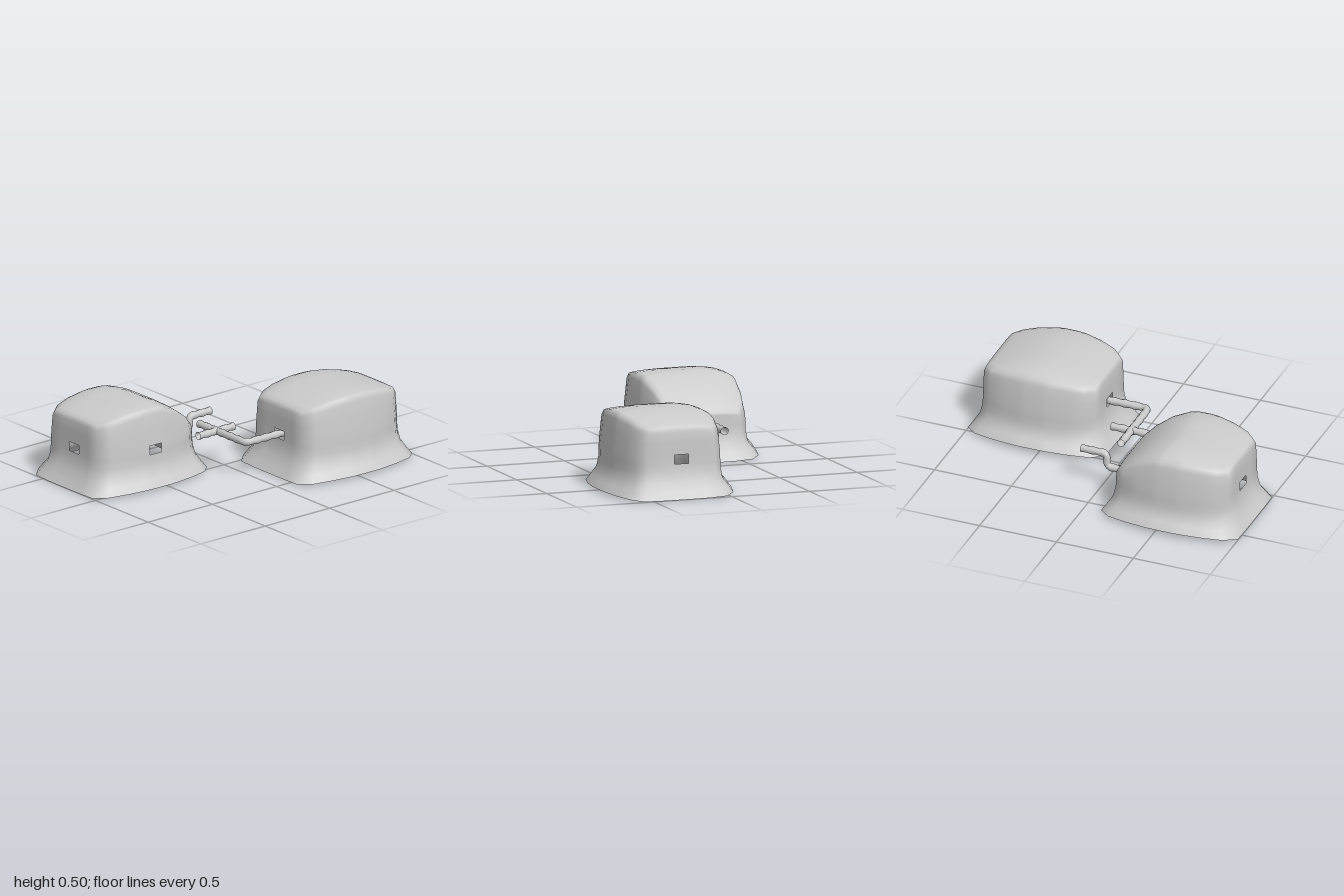
import * as THREE from 'three';

const material = new THREE.MeshStandardMaterial({ color: 0xcccccc, side: THREE.DoubleSide });

// One quarter of the barrel-shaped plan outline, from the +x side to the +z end (unit half-sizes)
const QUARTER = [[1, 0.125], [0.99, 0.26], [0.93, 0.56], [0.84, 0.84], [0.68, 1], [0.4, 1], [0.14, 1]];
const mirrorX = QUARTER.map(([x, z]) => [-x, z]).reverse();
const half = [...QUARTER, ...mirrorX];
const OUTLINE = [...half, ...half.map(([x, z]) => [-x, -z])];
const N = OUTLINE.length;

// Columns of the outline that lie in the middle of each side
const SIDE = { front: 6, left: N - 1, back: 20 };

// Wall rings: half width, half depth, height
const WALL = [
  [0.395, 0.445, 0.0], [0.365, 0.415, 0.045], [0.335, 0.385, 0.1],
  [0.326, 0.37, 0.16], [0.325, 0.367, 0.207], [0.323, 0.366, 0.263],
];
const WINDOW_ROW = 4;

// Hollow shell with a flared brim, open floor and cut-out windows
function shelter(name, x0, z0, windows, backDrop) {
  const roofY = (u, v) => 0.5
    - (v < 0 ? backDrop * Math.abs(v) ** 1.9 : 0.075 * v * v)
    - (u < 0 ? 0.055 : 0.018) * u ** 4;
  const positions = [], index = [];
  const addRing = (hx, hz, height) => {
    for (const [u, v] of OUTLINE) positions.push(u * hx, height(u, v), v * hz);
  };
  WALL.forEach(([hx, hz, y], i) => {
    const lift = u => (i < 2 ? (u < 0 ? 0.03 : 0.015) * u ** 4 : 0);
    addRing(hx, hz, u => y + lift(u));
  });
  // Upper wall rises to the curved roof edge
  for (const [f, hx, hz] of [[0.45, 0.313, 0.366], [0.85, 0.304, 0.365]]) {
    addRing(hx, hz, (u, v) => THREE.MathUtils.lerp(0.263, roofY(u, v), f));
  }
  // Roof rings shrink towards the crown
  for (const t of [0.97, 0.88, 0.72, 0.5, 0.25]) {
    addRing(0.3 * t, 0.365 * t, (u, v) => roofY(u * t, v * t));
  }
  const rings = positions.length / 3 / N;
  const crown = positions.length / 3;
  positions.push(0, roofY(0, 0), 0);

  for (let r = 0; r < rings; r++) {
    for (let i = 0; i < N; i++) {
      if (r === WINDOW_ROW && windows.some(w => SIDE[w] === i)) continue;
      const j = (i + 1) % N;
      const a = r * N + i, b = r * N + j;
      if (r === rings - 1) index.push(a, crown, b);
      else index.push(a, a + N, b, b, a + N, b + N);
    }
  }
  const geometry = new THREE.BufferGeometry();
  geometry.setAttribute('position', new THREE.Float32BufferAttribute(positions, 3));
  geometry.setIndex(index);
  geometry.computeVertexNormals();
  const mesh = new THREE.Mesh(geometry, material);
  mesh.name = name;
  mesh.position.set(x0, 0, z0);
  return mesh;
}

// Open pipe through corner points, with rounded elbows and slight swellings along its length
function pipe(name, points, bend = 0.04) {
  const pts = points.map(p => new THREE.Vector3(...p));
  const path = new THREE.CurvePath();
  let from = pts[0];
  for (let i = 1; i < pts.length; i++) {
    const corner = pts[i];
    if (i === pts.length - 1) {
      path.add(new THREE.LineCurve3(from, corner));
      break;
    }
    const towards = q => corner.clone().add(q.clone().sub(corner).setLength(bend));
    const before = towards(pts[i - 1]), after = towards(pts[i + 1]);
    path.add(new THREE.LineCurve3(from, before));
    path.add(new THREE.QuadraticBezierCurve3(before, corner, after));
    from = after;
  }
  const length = path.getLength();
  const steps = Math.ceil(length / 0.012), sides = 10;
  const geometry = new THREE.TubeGeometry(path, steps, 0.023, sides, false);
  const pos = geometry.attributes.position, nor = geometry.attributes.normal;
  const waves = Math.max(2, Math.round(length / 0.07));
  for (let k = 0; k < pos.count; k++) {
    const s = Math.floor(k / (sides + 1)) / steps;
    const swell = 0.002 * Math.cos(s * waves * Math.PI * 2);
    pos.setXYZ(k, pos.getX(k) + nor.getX(k) * swell,
      pos.getY(k) + nor.getY(k) * swell, pos.getZ(k) + nor.getZ(k) * swell);
  }
  const mesh = new THREE.Mesh(geometry, material);
  mesh.name = name;
  return mesh;
}

export function createModel() {
  const model = new THREE.Group();
  model.name = 'linkedShelters';

  // Two shelters set diagonally; the front one slopes down at its back
  model.add(
    shelter('frontShelter', -0.295, 0.555, ['front', 'left'], 0.21),
    shelter('backShelter', 0.295, -0.555, ['front', 'back'], 0.075),
  );

  // Connecting pipes
  const y = 0.236;
  model.add(
    pipe('elbowPipe', [[0.29, y, -0.23], [0.29, y, 0.066], [-0.15, y, 0.068]], 0.045),
    pipe('crossPipe', [[0.015, y, -0.06], [0.015, y, 0.215]]),
    pipe('steppedPipe', [[-0.29, 0.145, 0.2], [-0.29, 0.145, 0.035], [-0.29, y, 0.035], [-0.29, y, -0.13]], 0.035),
  );
  return model;
}
